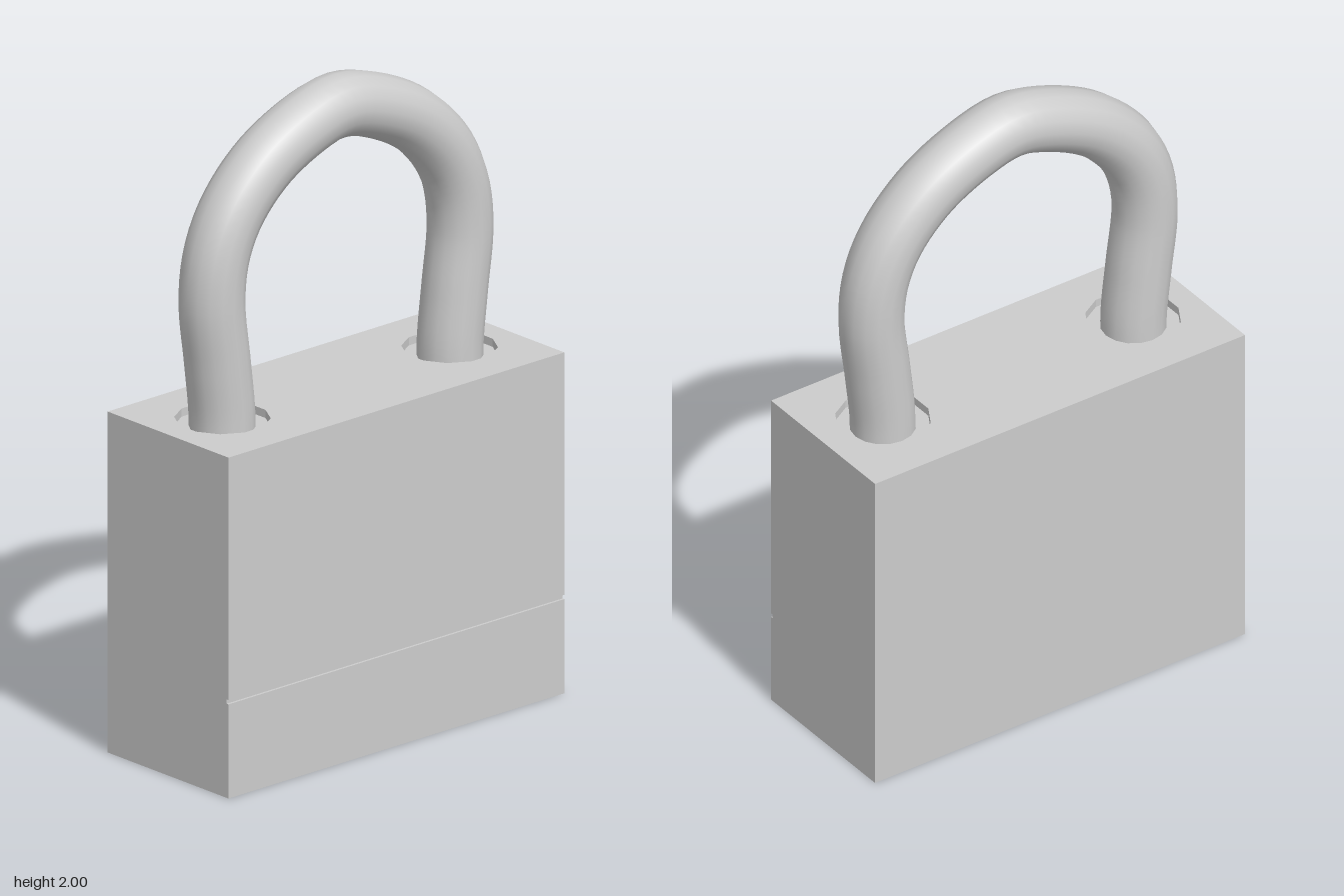
import * as THREE from 'three';

const W = 0.655, D = 0.26, TOP = 1.05, GROOVE = 0.29, UPPER = 0.303;
const HOLE_X = 0.443, HOLE_R = 0.14;

export function createModel() {
  const group = new THREE.Group();
  const steel = new THREE.MeshStandardMaterial({ color: 0xcccccc });
  steel.name = 'grey steel';

  const add = (name, geometry, x = 0, y = 0, z = 0) => {
    const mesh = new THREE.Mesh(geometry, steel);
    mesh.name = name;
    mesh.position.set(x, y, z);
    group.add(mesh);
    return mesh;
  };

  // Upper body: block with two twelve-sided sockets for the shackle
  const outline = new THREE.Shape();
  outline.moveTo(-W, -D).lineTo(W, -D).lineTo(W, D).lineTo(-W, D).closePath();
  for (const side of [-1, 1]) {
    const points = [];
    for (let i = 0; i < 12; i++) {
      const a = -(i + 0.5) * Math.PI / 6;
      points.push(new THREE.Vector2(side * HOLE_X + HOLE_R * Math.cos(a), HOLE_R * Math.sin(a)));
    }
    outline.holes.push(new THREE.Path(points));
  }
  const upper = new THREE.ExtrudeGeometry(outline, { depth: TOP - UPPER, bevelEnabled: false });
  upper.rotateX(-Math.PI / 2);
  add('upperBody', upper, 0, UPPER, 0);

  // Lower body, and the fine groove across the front only
  add('lowerBody', new THREE.BoxGeometry(2 * W, GROOVE, 2 * D), 0, GROOVE / 2, 0);
  const inset = 0.008;
  add('grooveBand', new THREE.BoxGeometry(2 * W, UPPER - GROOVE, 2 * D - inset),
    0, (UPPER + GROOVE) / 2, -inset / 2);

  // Shallow socket floors
  for (const side of [-1, 1]) {
    const floor = new THREE.CircleGeometry(HOLE_R, 12, Math.PI / 12);
    floor.rotateX(-Math.PI / 2);
    add(side > 0 ? 'leftSocketFloor' : 'rightSocketFloor', floor, side * HOLE_X, TOP - 0.025, 0);
  }

  // Shackle: mirrored centre line, slightly pinched at the feet
  const half = [[0.443, 0.98], [0.446, 1.08], [0.463, 1.23], [0.484, 1.42],
    [0.465, 1.56], [0.405, 1.68], [0.285, 1.796], [0.12, 1.877]];
  const path = [
    ...half.map(([x, y]) => new THREE.Vector3(-x, y, 0)),
    new THREE.Vector3(0, 1.903, 0),
    ...half.slice().reverse().map(([x, y]) => new THREE.Vector3(x, y, 0)),
  ];
  add('shackle', new THREE.TubeGeometry(new THREE.CatmullRomCurve3(path), 72, 0.097, 16, false));

  return group;
}
